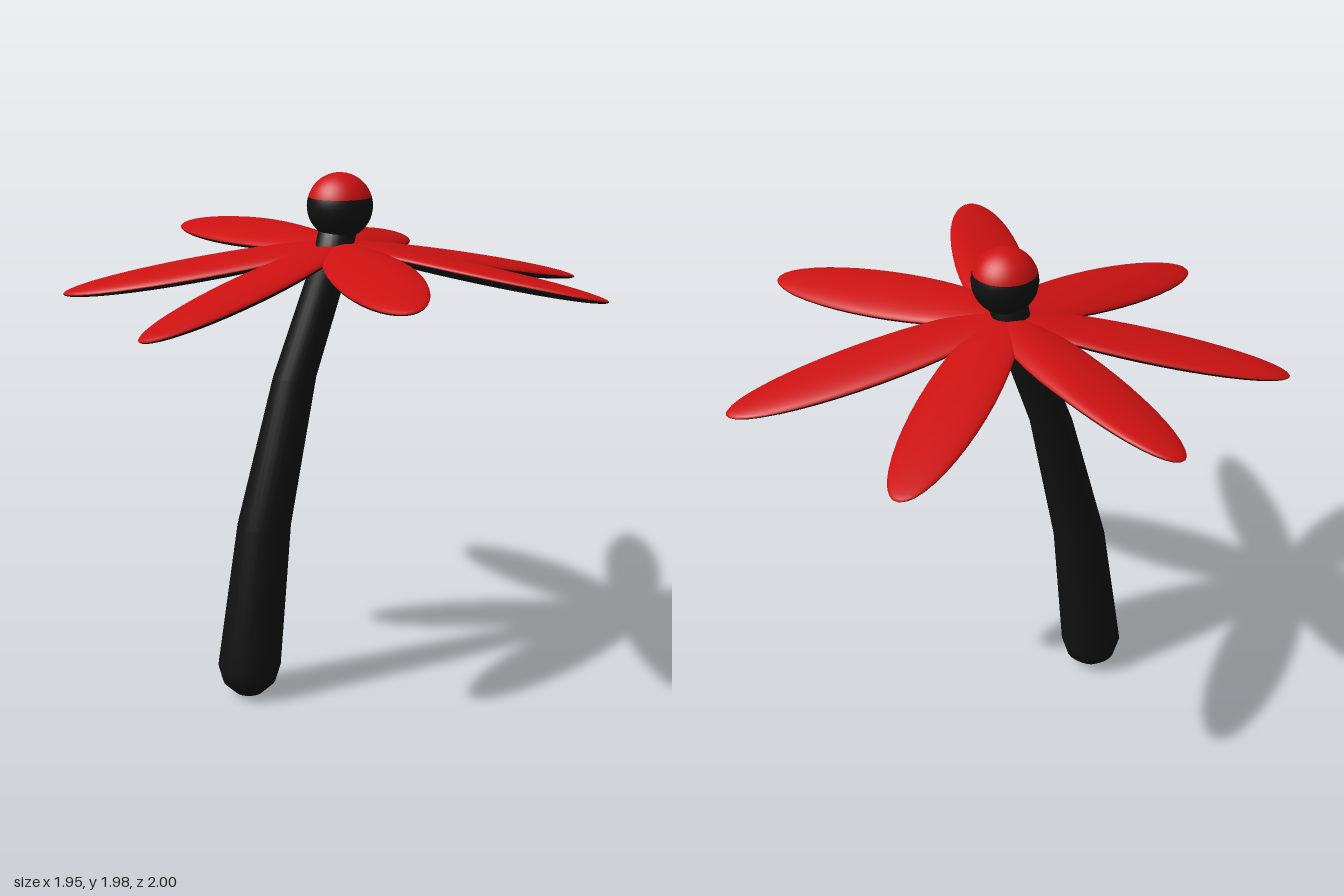
import * as THREE from 'three';
import { mergeVertices } from 'three/addons/utils/BufferGeometryUtils.js';

export function createModel() {
  const red = new THREE.MeshStandardMaterial({ color: 0xcc1111 });
  red.name = 'red';
  const black = new THREE.MeshStandardMaterial({ color: 0x111111 });
  black.name = 'black';

  const model = new THREE.Group();
  model.name = 'palmTree';
  const centreX = -0.053;

  const add = (parent, name, geometry, material) => {
    const mesh = new THREE.Mesh(geometry, material);
    mesh.name = name;
    parent.add(mesh);
    return mesh;
  };

  // Trunk: tapered lathe whose rings are shifted sideways along a leaning path
  // Each row is radius, height, x centre
  const rings = [
    [0, 0, -0.445], [0.055, 0.012, -0.445], [0.1, 0.055, -0.444], [0.12, 0.125, -0.442],
    [0.101, 0.68, -0.372], [0.08, 1.24, -0.24], [0.071, 1.66, -0.09],
    [0.071, 1.77, -0.062], [0, 1.8, -0.055],
  ];
  let trunk = new THREE.LatheGeometry(rings.map(([r, y]) => new THREE.Vector2(r, y)), 24);
  const tp = trunk.attributes.position;
  for (let i = 0; i < tp.count; i++) {
    tp.setX(i, tp.getX(i) + rings[i % rings.length][2]);
  }
  trunk.deleteAttribute('uv');
  trunk.deleteAttribute('normal');
  trunk = mergeVertices(trunk);
  trunk.computeVertexNormals();
  add(model, 'trunk', trunk, black);

  // Leaf half: flat ellipsoid, turned around the crown and drooping to both sides in x
  const leafHalf = (angle, start) => {
    const g = new THREE.SphereGeometry(1, 40, 10, 0, Math.PI * 2, start, Math.PI / 2);
    g.scale(0.525, 0.033, 0.138);
    g.translate(0.5, 0, 0);
    g.rotateY(angle);
    const p = g.attributes.position;
    const n = g.attributes.normal;
    const v = new THREE.Vector3();
    for (let i = 0; i < p.count; i++) {
      const x = p.getX(i);
      const bend = Math.sqrt(x * x + 0.0016);
      p.setY(i, p.getY(i) - 0.2 * bend);
      // Normals follow the shear of the droop
      v.fromBufferAttribute(n, i);
      v.x += 0.2 * (x / bend) * v.y;
      v.normalize();
      n.setXYZ(i, v.x, v.y, v.z);
    }
    return g;
  };

  const crown = new THREE.Group();
  crown.name = 'crown';
  crown.position.set(centreX, 1.72, 0);
  for (let i = 0; i < 7; i++) {
    const angle = (i * Math.PI * 2) / 7;
    const leaf = new THREE.Group();
    leaf.name = `leaf${i + 1}`;
    add(leaf, 'leafTop', leafHalf(angle, 0), red);
    add(leaf, 'leafUnderside', leafHalf(angle, Math.PI / 2), black);
    crown.add(leaf);
  }
  model.add(crown);

  // Ball on top, with a red cap
  const ball = new THREE.Group();
  ball.name = 'ball';
  ball.position.set(centreX, 1.86, 0);
  const split = Math.acos(0.28);
  add(ball, 'ballCap', new THREE.SphereGeometry(0.121, 32, 10, 0, Math.PI * 2, 0, split), red);
  add(ball, 'ballBase', new THREE.SphereGeometry(0.121, 32, 14, 0, Math.PI * 2, split, Math.PI - split), black);
  model.add(ball);

  return model;
}
